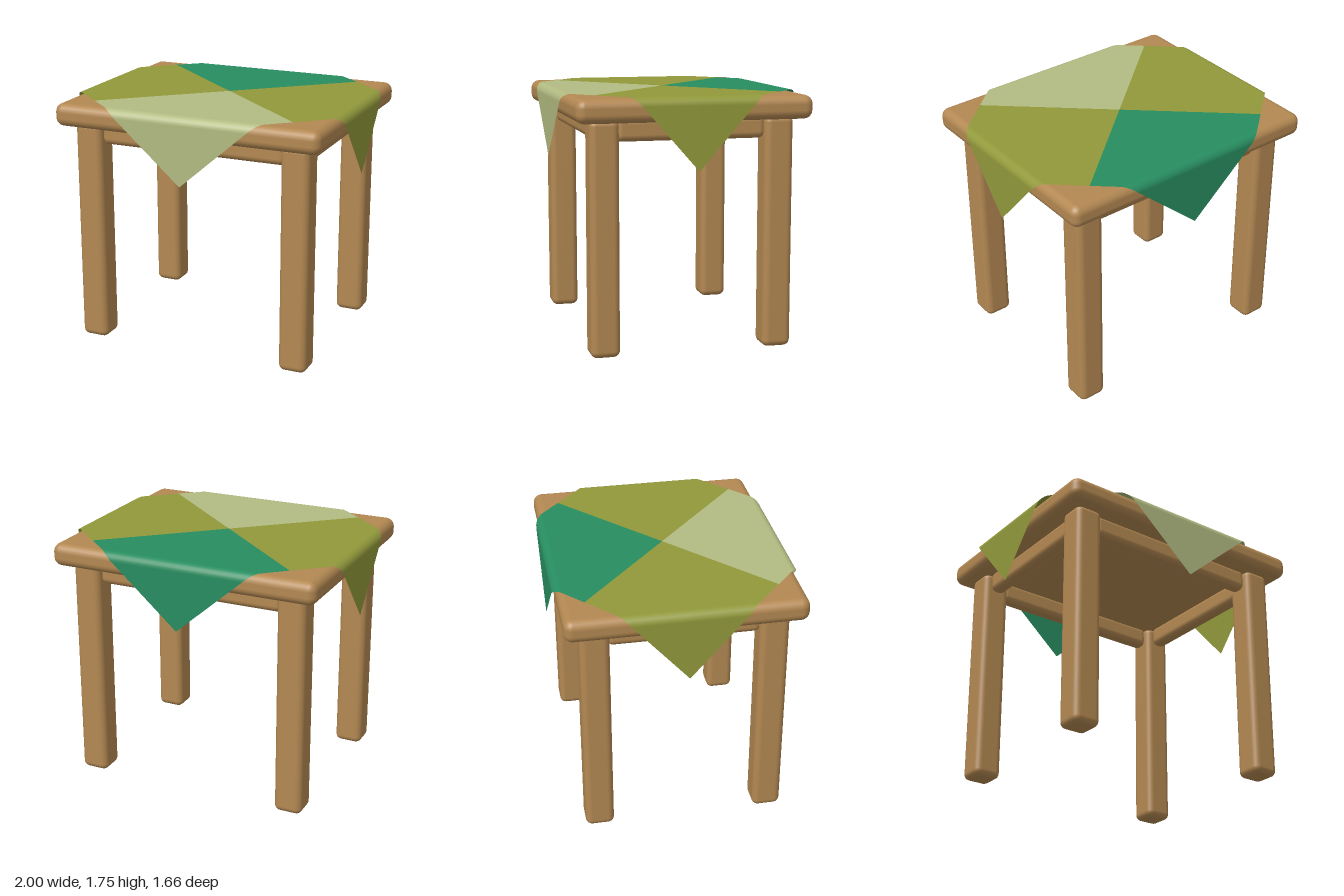
import * as THREE from 'three';
import { RoundedBoxGeometry } from 'three/addons/geometries/RoundedBoxGeometry.js';

const material = (name, color, side = THREE.FrontSide) => {
  const m = new THREE.MeshStandardMaterial({ color, side });
  m.name = name;
  return m;
};

// Cloth half diagonals, height and fold radius
const HALF_X = 1.465, HALF_Z = 1.285, CLOTH_Y = 1.75, FOLD = 0.06;

// One kite-shaped patch from the table centre outwards, folded down over the edge.
// reach: half diagonal along the patch, across: the other one, edge: distance of the hanging flap.
function clothPatch(reach, across, edge) {
  const flat = edge - FOLD, bend = FOLD * Math.PI / 2;
  const rows = [0, reach / 2, flat];
  for (let i = 1; i <= 6; i++) rows.push(flat + bend * i / 6);
  rows.push(reach);

  const positions = [], normals = [], index = [];
  rows.forEach((s, r) => {
    const w = across * Math.min(s, reach - s) / reach;
    const a = Math.min(Math.max((s - flat) / FOLD, 0), Math.PI / 2);
    const z = Math.min(s, flat) + FOLD * Math.sin(a);
    const y = CLOTH_Y - FOLD * (1 - Math.cos(a)) - Math.max(s - flat - bend, 0);
    for (const x of [-w, 0, w]) {
      positions.push(x, y, z);
      normals.push(0, Math.cos(a), Math.sin(a));
    }
    if (r === 0) return;
    for (let c = 0; c < 2; c++) {
      const p = (r - 1) * 3 + c, q = p + 3;
      index.push(p, q, q + 1, p, q + 1, p + 1);
    }
  });
  const g = new THREE.BufferGeometry();
  g.setAttribute('position', new THREE.Float32BufferAttribute(positions, 3));
  g.setAttribute('normal', new THREE.Float32BufferAttribute(normals, 3));
  g.setIndex(index);
  return g;
}

export function createModel() {
  const model = new THREE.Group();
  model.name = 'tableWithCloth';
  const wood = material('wood', 0xb38852);
  const paleGreen = material('paleGreen', 0xb2bb82, THREE.DoubleSide);
  const olive = material('olive', 0x91993b, THREE.DoubleSide);
  const deepGreen = material('deepGreen', 0x278d60, THREE.DoubleSide);

  const add = (name, geometry, mat, x = 0, y = 0, z = 0) => {
    const mesh = new THREE.Mesh(geometry, mat);
    mesh.name = name;
    mesh.position.set(x, y, z);
    model.add(mesh);
    return mesh;
  };

  // Table top
  add('tableTop', new RoundedBoxGeometry(1.94, 0.16, 1.61, 3, 0.06), wood, 0, 1.66, 0);

  // Legs
  const leg = new RoundedBoxGeometry(0.2, 1.6, 0.2, 3, 0.045);
  for (const sx of [-1, 1]) for (const sz of [-1, 1]) {
    add(`${sz > 0 ? 'front' : 'back'}${sx > 0 ? 'Left' : 'Right'}Leg`, leg, wood, sx * 0.765, 0.8, sz * 0.6);
  }

  // Rails between the legs
  const longRail = new RoundedBoxGeometry(1.36, 0.16, 0.11, 3, 0.045);
  const shortRail = new RoundedBoxGeometry(0.11, 0.16, 1.03, 3, 0.045);
  for (const s of [-1, 1]) {
    add(s > 0 ? 'frontRail' : 'backRail', longRail, wood, 0, 1.525, s * 0.6);
    add(s > 0 ? 'leftRail' : 'rightRail', shortRail, wood, s * 0.765, 1.525, 0);
  }

  // Four-patch cloth laid diagonally
  const endPatch = clothPatch(HALF_Z, HALF_X, 0.83);
  const sidePatch = clothPatch(HALF_X, HALF_Z, 1.0);
  add('frontClothPatch', endPatch, paleGreen);
  add('leftClothPatch', sidePatch, olive).rotation.y = Math.PI / 2;
  add('backClothPatch', endPatch, deepGreen).rotation.y = Math.PI;
  add('rightClothPatch', sidePatch, olive).rotation.y = -Math.PI / 2;

  return model;
}
